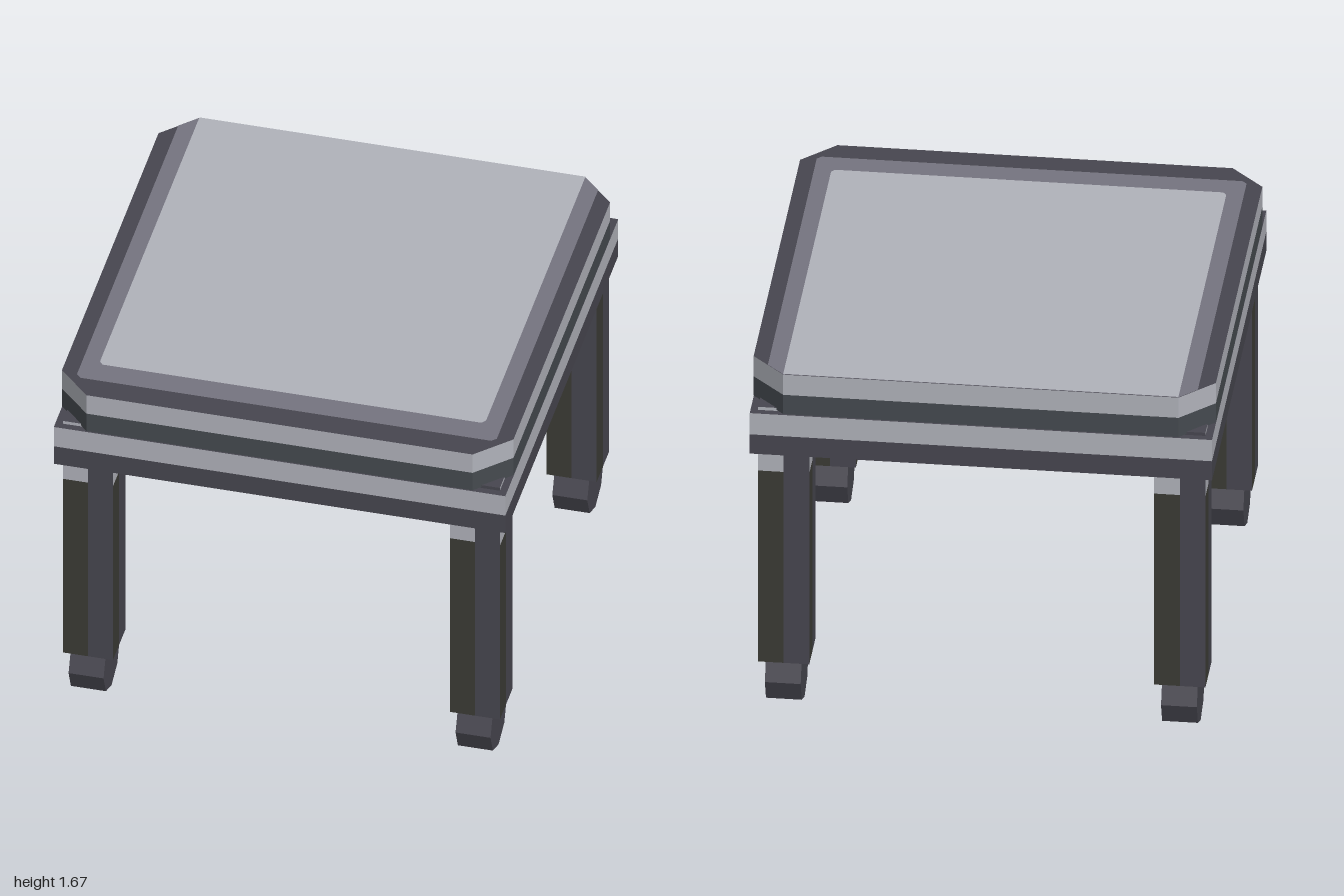
import * as THREE from 'three';

const mat = (name, color) => new THREE.MeshStandardMaterial({ name, color, flatShading: true, side: THREE.DoubleSide });

export function createModel() {
  const light = mat('light grey', 0xb0b2ba);
  const dark = mat('dark slate', 0x47464f);
  const band = mat('blue slate', 0x454a4f);
  const olive = mat('dark olive', 0x3b3b35);
  const mid = mat('mid grey', 0x757480);

  const model = new THREE.Group();
  model.name = 'stool';
  const add = (parent, name, geometry, material, x = 0, y = 0, z = 0) => {
    const mesh = new THREE.Mesh(geometry, material);
    mesh.name = name;
    mesh.position.set(x, y, z);
    parent.add(mesh);
    return mesh;
  };

  // Outline on the ground plane given as [x, z] points
  const outline = (pts) => new THREE.Shape(pts.map(([x, z]) => new THREE.Vector2(x, -z)));
  const slab = (shape, depth) =>
    new THREE.ExtrudeGeometry(shape, { depth, bevelEnabled: false }).rotateX(-Math.PI / 2);
  const sheet = (shape) => new THREE.ShapeGeometry(shape).rotateX(-Math.PI / 2);

  // Cushion: a slab with cut corners, in two colour bands
  const c = 0.855;
  const octagon = outline([[-c, 1], [c, 1], [1, c], [1, -c], [c, -1], [-c, -1], [-1, -c], [-1, c]]);
  add(model, 'cushionLower', slab(octagon, 0.095), band, 0, 1.475, 0);
  add(model, 'cushionUpper', slab(octagon, 0.1), [dark, light], 0, 1.57, 0);

  // Top inlays, running out to the back edge
  add(model, 'cushionBorder', sheet(outline([
    [-c, -1], [c, -1], [0.93, -0.925], [0.93, 0.87], [0.91, 0.89], [-0.91, 0.89], [-0.93, 0.87], [-0.93, -0.925],
  ])), mid, 0, 1.672, 0);
  add(model, 'cushionCentre', sheet(outline([
    [-c, -1], [c, -1], [c, 0.76], [0.84, 0.78], [-0.84, 0.78], [-c, 0.76],
  ])), light, 0, 1.674, 0);

  // Apron: four thin walls, open below
  for (let k = 0; k < 4; k++) {
    const side = new THREE.Group();
    side.name = 'apronSide';
    side.rotation.y = k * Math.PI / 2;
    add(side, 'apronLower', new THREE.PlaneGeometry(2, 0.095), dark, 0, 1.3175, 1);
    add(side, 'apronUpper', new THREE.PlaneGeometry(2, 0.105), light, 0, 1.4175, 1);
    model.add(side);
  }

  // Panel closing the apron, with a dark rim
  const square = (s) => [[-s, -s], [s, -s], [s, s], [-s, s]];
  const rim = outline(square(1));
  rim.holes.push(outline(square(0.9)));
  add(model, 'panelRim', sheet(rim), dark, 0, 1.47, 0);
  add(model, 'panel', sheet(outline(square(0.9))), light, 0, 1.47, 0);

  // Legs: square posts, each face split into two coloured halves
  const h = 0.111, bottom = 0.225, split = 1.17, top = 1.485;
  const strip = (y0, y1) => new THREE.PlaneGeometry(h, y1 - y0).translate(0, (y0 + y1) / 2, 0);
  for (const x of [-0.857, 0.857]) {
    for (const z of [-0.857, 0.857]) {
      const leg = new THREE.Group();
      leg.name = (z > 0 ? 'front' : 'back') + (x > 0 ? 'Left' : 'Right') + 'Leg';
      leg.position.set(x, 0, z);
      for (let k = 0; k < 4; k++) {
        const face = new THREE.Group();
        face.name = 'legFace';
        face.rotation.y = k * Math.PI / 2;
        add(face, 'legOliveHalf', strip(bottom, split), olive, -h / 2, 0, h);
        add(face, 'legLightTop', strip(split, top), light, -h / 2, 0, h);
        add(face, 'legDarkHalf', strip(bottom, top), dark, h / 2, 0, h);
        leg.add(face);
      }
      for (const y of [bottom, top]) add(leg, 'legEnd', sheet(outline(square(h))), dark, 0, y, 0);

      // Eight-sided wheel rolling front to back
      add(leg, 'wheel', new THREE.CylinderGeometry(0.143, 0.143, 0.155, 8).rotateZ(Math.PI / 2), dark, 0, 0.143, 0);
      model.add(leg);
    }
  }
  return model;
}
